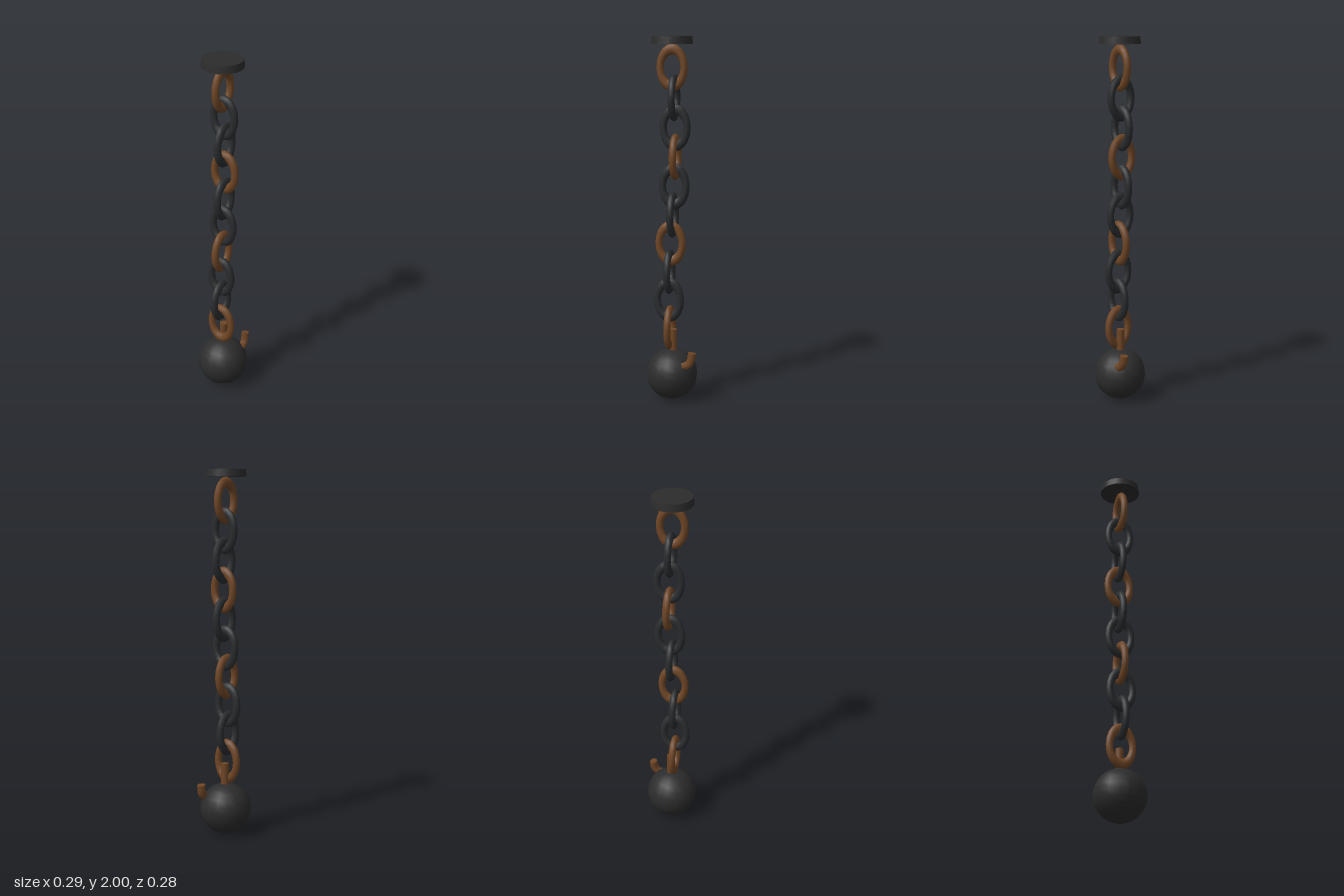
import * as THREE from 'three';

const iron = new THREE.MeshStandardMaterial({ color: 0x2c2c2c });
const chainIron = new THREE.MeshStandardMaterial({ color: 0x2a2c2e });
const rust = new THREE.MeshStandardMaterial({ color: 0x6f4626 });
iron.name = 'iron';
chainIron.name = 'chainIron';
rust.name = 'rust';

const AXIS = -0.006; // x of the hanging line

export function createModel() {
  const model = new THREE.Group();
  const add = (parent, name, geometry, material, x, y, z) => {
    const mesh = new THREE.Mesh(geometry, material);
    mesh.name = name;
    mesh.position.set(x, y, z);
    parent.add(mesh);
    return mesh;
  };

  // ceiling plate
  add(model, 'ceilingPlate', new THREE.CylinderGeometry(0.107, 0.112, 0.04, 20), iron, AXIS, 1.98, 0);

  // chain: oval links, each turned a quarter from the last, swaying slightly
  const chain = new THREE.Group();
  chain.name = 'chain';
  model.add(chain);
  const linkGeometry = new THREE.TorusGeometry(0.066, 0.02, 8, 20);
  linkGeometry.scale(1, 1.48, 1);
  for (let i = 0; i < 10; i++) {
    const x = AXIS + 0.018 * Math.sin(i * 0.6);
    const link = add(chain, 'chainLink' + (i + 1), linkGeometry,
      i % 3 === 0 ? rust : chainIron, x, 1.834 - i * 0.159, 0);
    link.rotation.y = i % 2 ? Math.PI / 2 : 0;
  }

  // weight and the stub that carries it
  add(model, 'ball', new THREE.SphereGeometry(0.142, 16, 12), iron, AXIS, 0.139, 0);
  add(model, 'ballStub', new THREE.CylinderGeometry(0.022, 0.022, 0.13, 8), rust, 0.001, 0.33, 0);

  // broken hook: bent bar with closed ends
  const hook = new THREE.Group();
  hook.name = 'brokenHook';
  model.add(hook);
  const path = new THREE.CatmullRomCurve3([
    new THREE.Vector3(0.07, 0.206, 0.072),
    new THREE.Vector3(0.098, 0.215, 0.071),
    new THREE.Vector3(0.116, 0.24, 0.069),
    new THREE.Vector3(0.123, 0.284, 0.067),
  ]);
  add(hook, 'hookBar', new THREE.TubeGeometry(path, 6, 0.024, 6), rust, 0, 0, 0);
  for (const t of [0, 1]) {
    const p = path.getPoint(t);
    const cap = add(hook, 'hookEnd', new THREE.CircleGeometry(0.024, 6), rust, p.x, p.y, p.z);
    const out = path.getTangent(t).multiplyScalar(t ? 1 : -1);
    cap.quaternion.setFromUnitVectors(new THREE.Vector3(0, 0, 1), out);
  }
  return model;
}
